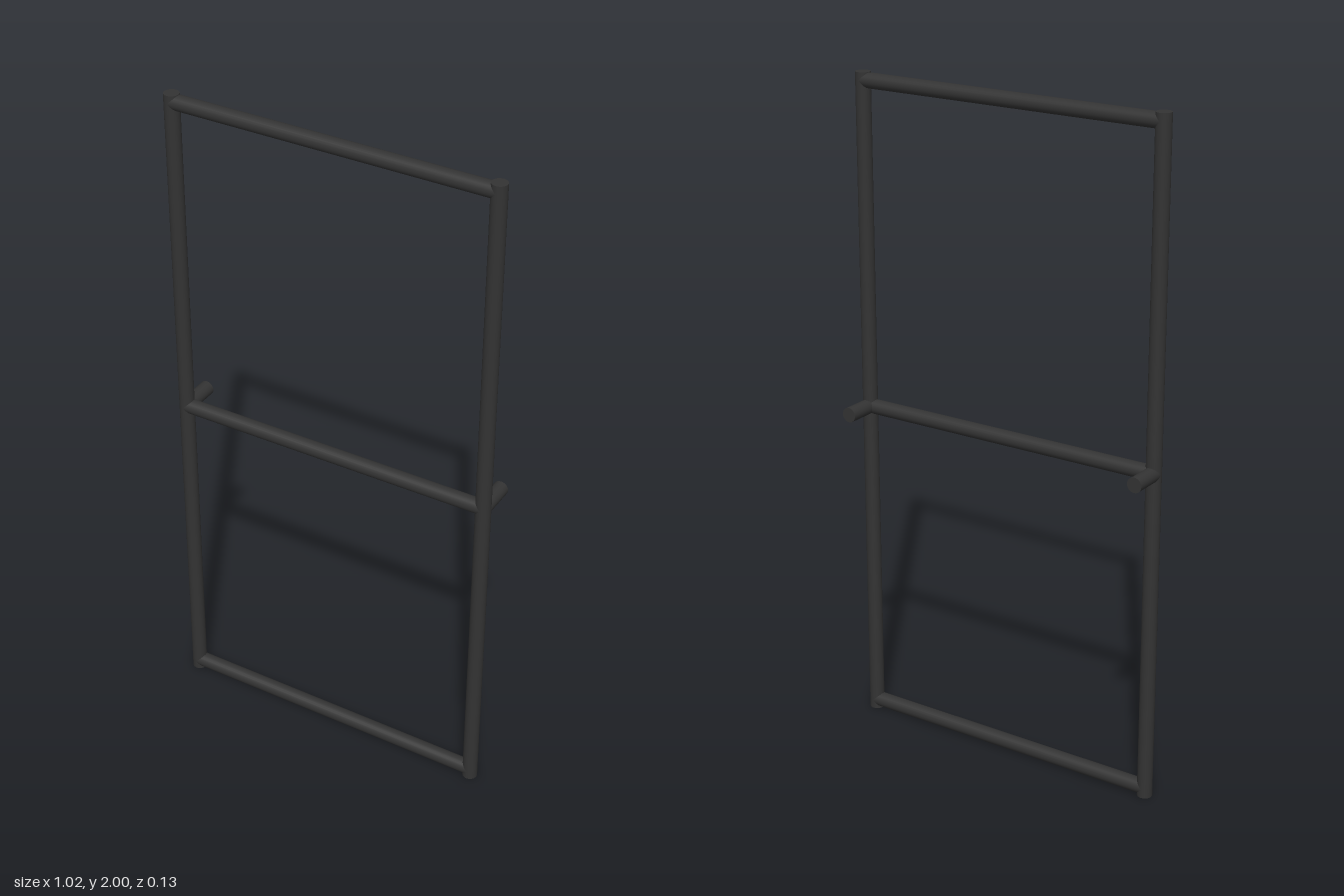
import * as THREE from 'three';

const R = 0.0225;   // tube radius
const X = 0.487;    // post offset from the centre
const Z = 0.041;    // plane of the frame

export function createModel() {
  const group = new THREE.Group();
  const material = new THREE.MeshStandardMaterial({ color: 0x333333 });

  // Round capped tube between two points
  function tube(name, from, to) {
    const a = new THREE.Vector3(...from);
    const b = new THREE.Vector3(...to);
    const dir = b.clone().sub(a);
    const mesh = new THREE.Mesh(new THREE.CylinderGeometry(R, R, dir.length(), 24), material);
    mesh.position.copy(a).add(b).multiplyScalar(0.5);
    mesh.quaternion.setFromUnitVectors(new THREE.Vector3(0, 1, 0), dir.normalize());
    mesh.name = name;
    group.add(mesh);
  }

  // Upright posts, each with a wall peg pointing back at mid height
  for (const [side, s] of [['left', 1], ['right', -1]]) {
    tube(side + 'Post', [s * X, 0, Z], [s * X, 2, Z]);
    tube(side + 'WallPeg', [s * X, 1.003, Z], [s * X, 1.003, -0.0635]);
  }

  // Horizontal rails
  for (const [name, y] of [['bottomRail', 0.026], ['middleRail', 1.003], ['topRail', 1.976]]) {
    tube(name, [-X, y, Z], [X, y, Z]);
  }

  return group;
}
